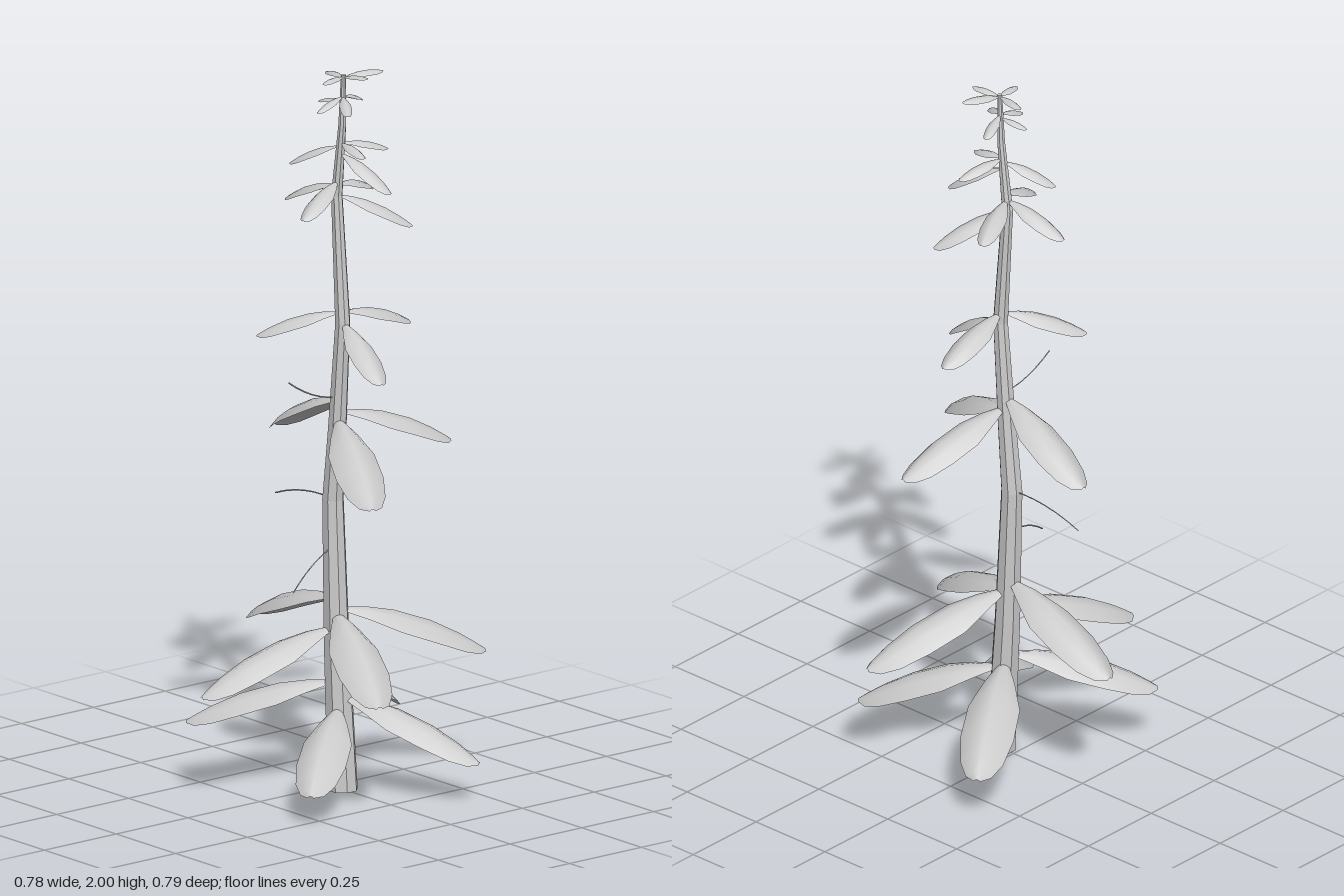
import * as THREE from 'three';

const material = new THREE.MeshStandardMaterial({ color: 0xcccccc, side: THREE.DoubleSide });
const stemMaterial = new THREE.MeshStandardMaterial({ color: 0xcccccc, flatShading: true, side: THREE.DoubleSide });

// Stem centreline: x, y, radius
const STEM = [
  [0.047, 0, 0.042], [0.022, 0.4, 0.036], [0.006, 0.8, 0.03], [0.024, 1.0, 0.026],
  [0.047, 1.3, 0.021], [0.022, 1.65, 0.016], [0.045, 1.85, 0.011], [0.05, 1.99, 0.007],
];

function stemAt(y) {
  let i = 0;
  while (i < STEM.length - 2 && STEM[i + 1][1] < y) i++;
  const [a, b] = [STEM[i], STEM[i + 1]];
  const t = Math.min(1, (y - a[1]) / (b[1] - a[1]));
  return { x: a[0] + (b[0] - a[0]) * t, r: a[2] + (b[2] - a[2]) * t };
}

// Grid of rows of points turned into an indexed surface
function surface(rows) {
  const n = rows[0].length, index = [];
  for (let i = 0; i < rows.length - 1; i++) {
    for (let j = 0; j < n - 1; j++) {
      const a = i * n + j;
      index.push(a, a + 1, a + n, a + 1, a + n + 1, a + n);
    }
  }
  const geometry = new THREE.BufferGeometry().setFromPoints(rows.flat());
  geometry.setIndex(index);
  geometry.computeVertexNormals();
  return geometry;
}

// Round loft through rings of [centre, radius]
function loft(rings, sides) {
  return surface(rings.map(([c, r]) => Array.from({ length: sides + 1 }, (_, j) => {
    const a = -(j + 0.5) / sides * Math.PI * 2;
    return new THREE.Vector3(c.x + r * Math.cos(a), c.y, c.z + r * Math.sin(a));
  })));
}

// Leaf outline: position along the leaf, share of full width
const OUTLINE = [[0, 0.2], [0.16, 0.58], [0.36, 0.97], [0.62, 1], [0.82, 0.8], [0.94, 0.48], [1, 0.12]];

// Arched, drooping leaf from the stem at baseY to its tip
function makeLeaf(baseY, tipX, tipY, tipZ) {
  const { x, r } = stemAt(baseY);
  const tip = new THREE.Vector3(tipX, tipY, tipZ);
  const out = new THREE.Vector3(tipX - x, 0, tipZ).normalize();
  const base = new THREE.Vector3(x, baseY, 0).addScaledVector(out, r * 0.6);
  const length = base.distanceTo(tip);
  const middle = base.clone().lerp(tip, 0.5);
  middle.y += length * 0.17;
  const spine = new THREE.QuadraticBezierCurve3(base, middle, tip);
  const across = new THREE.Vector3(out.z, 0, -out.x);
  const halfWidth = length * 0.17;
  const rows = OUTLINE.map(([t, w]) => [-1, -0.5, 0, 0.5, 1].map((s) => {
    const p = spine.getPoint(t).addScaledVector(across, s * w * halfWidth);
    p.y -= s * s * w * length * 0.11;
    return p;
  }));
  const leaf = new THREE.Mesh(surface(rows), material);
  leaf.name = 'leaf';
  return leaf;
}

// Bare stalk, thin and bowed
function makeStalk(baseY, tipX, tipY, tipZ, bow) {
  const base = new THREE.Vector3(stemAt(baseY).x, baseY, 0);
  const tip = new THREE.Vector3(tipX, tipY, tipZ);
  const middle = base.clone().lerp(tip, 0.5);
  middle.y += bow;
  const curve = new THREE.QuadraticBezierCurve3(base, middle, tip);
  const stalk = new THREE.Mesh(new THREE.TubeGeometry(curve, 6, 0.002, 4), material);
  stalk.name = 'bareStalk';
  return stalk;
}

// Leaf whorls from bottom to top: base height, then tip x, y, z
const WHORLS = [
  [[0.28, -0.195, 0.135, -0.36], [0.26, 0.38, 0.11, -0.2], [0.23, 0.28, 0.085, 0.305], [0.3, -0.255, 0.18, 0.295]],
  [[0.53, -0.39, 0.39, -0.045], [0.49, 0.39, 0.33, 0.155], [0.5, 0.175, 0.35, -0.39], [0.45, -0.075, 0.3, 0.39]],
  [[1.08, -0.295, 0.935, -0.045], [1.03, 0.36, 0.875, 0.155], [1.05, 0.1, 0.93, -0.33]],
  [[1.3, 0.26, 1.18, 0.04], [1.33, -0.115, 1.26, 0.165], [1.33, 0.03, 1.26, -0.245]],
  [[1.68, -0.155, 1.61, 0.03], [1.65, 0.135, 1.56, -0.17], [1.69, 0.08, 1.62, 0.165], [1.68, -0.04, 1.63, -0.17]],
  [[1.77, 0.19, 1.68, -0.05], [1.79, -0.085, 1.73, 0.075], [1.8, 0.15, 1.78, 0.01], [1.8, 0.08, 1.77, -0.13]],
  [[1.93, 0.13, 1.9, 0.05], [1.93, 0.02, 1.9, -0.09], [1.92, -0.03, 1.905, 0.02], [1.93, 0.05, 1.9, 0.09]],
  [[1.985, 0.09, 1.993, -0.105], [1.985, 0.13, 1.993, -0.02], [1.985, -0.035, 1.98, -0.01], [1.985, 0.06, 1.98, 0.08]],
];

export function createModel() {
  const plant = new THREE.Group();
  plant.name = 'plant';

  // Tapering, gently bent stem with closed ends
  const rings = STEM.map(([x, y, r]) => [new THREE.Vector3(x, y, 0), r]);
  const [first, last] = [rings[0], rings[rings.length - 1]];
  const stem = new THREE.Mesh(loft([[first[0], 0], ...rings, [last[0], 0]], 8), stemMaterial);
  stem.name = 'stem';
  plant.add(stem);

  // Leaves
  WHORLS.forEach((tips, i) => {
    const whorl = new THREE.Group();
    whorl.name = `leafWhorl${i + 1}`;
    tips.forEach((tip) => whorl.add(makeLeaf(...tip)));
    plant.add(whorl);
  });

  // Stalks that have lost their leaves
  plant.add(
    makeStalk(0.8, -0.235, 0.765, 0, 0.03),
    makeStalk(0.67, 0.068, 0.585, 0.19, 0.03),
    makeStalk(1.09, 0.02, 1.155, 0.165, -0.03),
  );
  return plant;
}
